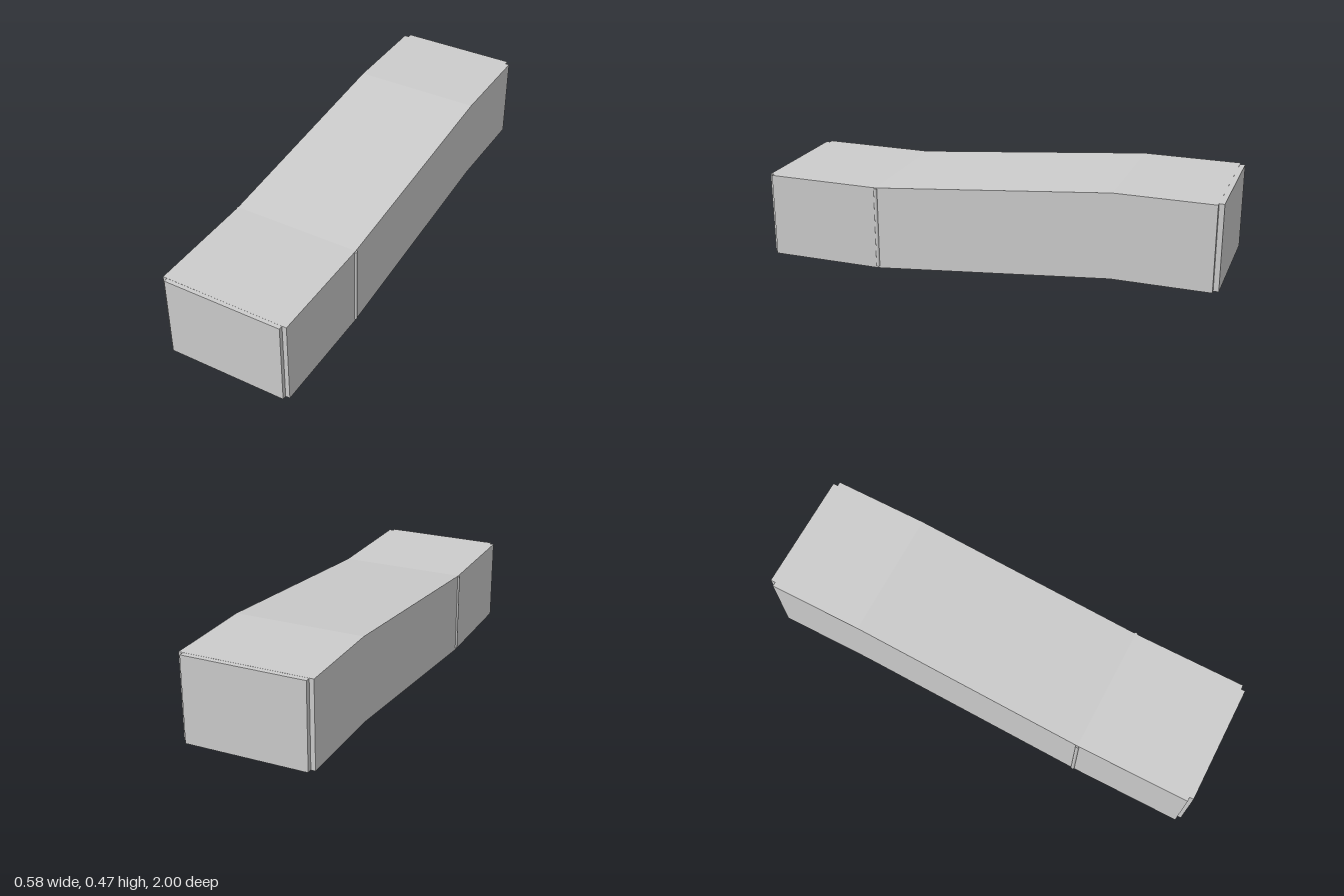
import * as THREE from 'three';

const lightGrey = new THREE.MeshStandardMaterial({ color: 0xcccccc });
lightGrey.name = 'lightGrey';

export function createModel() {
  const model = new THREE.Group();
  const add = (name, geometry, x, y, z) => {
    const mesh = new THREE.Mesh(geometry, lightGrey);
    mesh.name = name;
    mesh.position.set(x, y, z);
    model.add(mesh);
  };

  // Side profile of the cranked duct, drawn as (-z, y) and extruded across x
  const profile = new THREE.Shape([
    [-0.982, 0], [-0.48, 0], [0.56, 0.1], [0.978, 0.1],
    [0.978, 0.47], [0.56, 0.47], [-0.48, 0.37], [-0.982, 0.37],
  ].map(([x, y]) => new THREE.Vector2(x, y)));
  const body = new THREE.ExtrudeGeometry(profile, { depth: 0.562, bevelEnabled: false });
  body.translate(0, 0, -0.281).rotateY(Math.PI / 2);
  add('ductBody', body, 0, 0, 0);

  // Narrower panels standing proud of both ends
  add('frontPanel', new THREE.BoxGeometry(0.524, 0.369, 0.018), 0, 0.185, 0.991);
  add('backPanel', new THREE.BoxGeometry(0.524, 0.369, 0.022), 0, 0.285, -0.989);

  // Rounded upright seams at the lower bend
  for (const side of [-1, 1]) {
    add(side > 0 ? 'leftSeam' : 'rightSeam',
      new THREE.CylinderGeometry(0.008, 0.008, 0.357, 16), side * 0.28, 0.188, 0.48);
  }
  return model;
}
